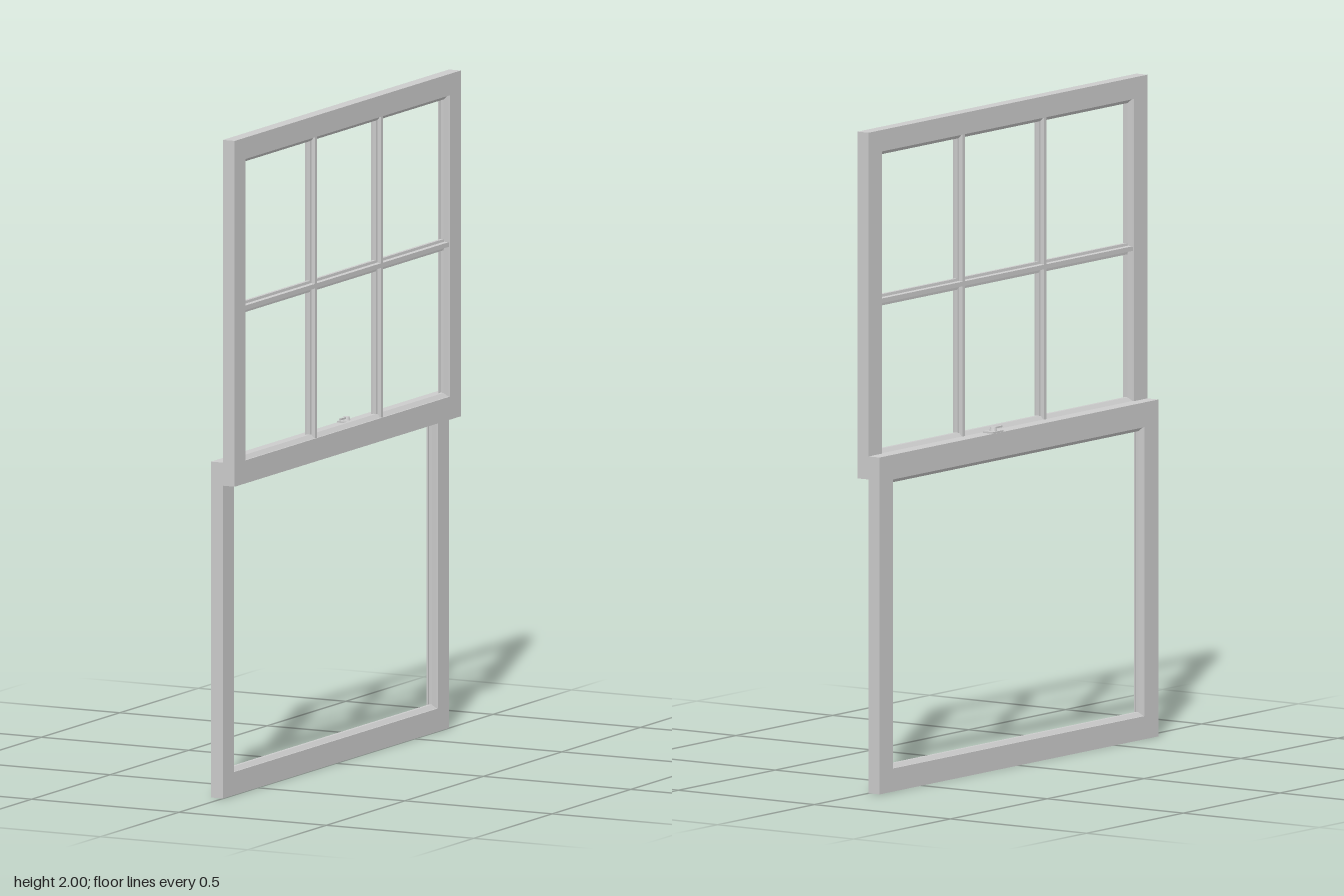
import * as THREE from 'three';

const mat = new THREE.MeshStandardMaterial({ color: 0xcccccc, flatShading: true });
const DEPTH = 0.04, HALF_W = 0.72, OPEN = 0.65, BEAD = 0.012;

function mesh(name, geo, parent) {
  const m = new THREE.Mesh(geo, mat);
  m.name = name;
  parent.add(m);
  return m;
}

// Prism along z from a profile of [x, y] points, centred on its length
function bar(points, length) {
  const shape = new THREE.Shape(points.map(p => new THREE.Vector2(...p)));
  return new THREE.ExtrudeGeometry(shape, { depth: length, bevelEnabled: false })
    .translate(0, 0, -length / 2);
}

// Moulded strip that tapers away from its y = 0 base
const beadProfile = [[-0.015, 0], [0.015, 0], [0.011, BEAD * 0.4], [0.005, BEAD], [-0.005, BEAD], [-0.011, BEAD * 0.4]];
// Glazing bar: narrow faces, wide middle
const muntinProfile = [[-0.017, -0.007], [-0.006, -0.009], [-0.005, -0.017], [0.005, -0.017], [0.006, -0.009], [0.017, -0.007],
  [0.017, 0.007], [0.006, 0.009], [0.005, 0.017], [-0.005, 0.017], [-0.006, 0.009], [-0.017, 0.007]];

// One sash: rails and stiles around an opening, with beads lining it
function sash(name, x, y0, y1, open0, open1) {
  const g = new THREE.Group();
  g.name = name;
  g.position.x = x;
  const rect = (T, w, a, b) => new T([[-w, a], [w, a], [w, b], [-w, b]].map(p => new THREE.Vector2(...p)));
  const shape = rect(THREE.Shape, HALF_W, y0, y1);
  shape.holes.push(rect(THREE.Path, OPEN, open0, open1));
  const frame = new THREE.ExtrudeGeometry(shape, { depth: DEPTH, bevelEnabled: false });
  frame.translate(0, 0, -DEPTH / 2).rotateY(-Math.PI / 2);
  mesh('sashFrame', frame, g);

  const h = open1 - open0, mid = (open0 + open1) / 2;
  mesh('bottomBead', bar(beadProfile, OPEN * 2), g).position.y = open0;
  const top = mesh('topBead', bar(beadProfile, OPEN * 2), g);
  top.position.y = open1;
  top.rotation.z = Math.PI;
  for (const s of [-1, 1]) {
    const side = mesh('sideBead', bar(beadProfile, h), g);
    side.position.set(0, mid, s * OPEN);
    side.rotation.x = -s * Math.PI / 2;
  }
  return g;
}

export function createModel() {
  const model = new THREE.Group();
  model.name = 'sashWindow';

  const upper = sash('upperSash', DEPTH / 2, 0.95, 2, 1.02, 1.935);
  const lower = sash('lowerSash', -DEPTH / 2, 0, 1.02, 0.07, 0.945);
  model.add(upper, lower);

  // Glazing bars dividing the upper sash into six panes
  mesh('horizontalMuntin', bar(muntinProfile, OPEN * 2), upper).position.y = 1.482;
  for (const z of [0.197, -0.224]) {
    const m = mesh('verticalMuntin', bar(muntinProfile, 0.915), upper);
    m.position.set(0, 1.4775, z);
    m.rotation.x = Math.PI / 2;
  }

  // Latch on the meeting rail
  const latch = new THREE.Group();
  latch.name = 'latch';
  latch.position.set(-0.021, 1.02, -0.106);
  mesh('latchPlate', new THREE.BoxGeometry(0.036, 0.005, 0.054), latch).position.y = 0.0025;
  mesh('latchPivot', new THREE.CylinderGeometry(0.009, 0.012, 0.012, 16), latch).position.y = 0.01;
  mesh('latchLever', new THREE.BoxGeometry(0.006, 0.005, 0.042), latch).position.set(0, 0.013, 0.022);
  model.add(latch);
  return model;
}
